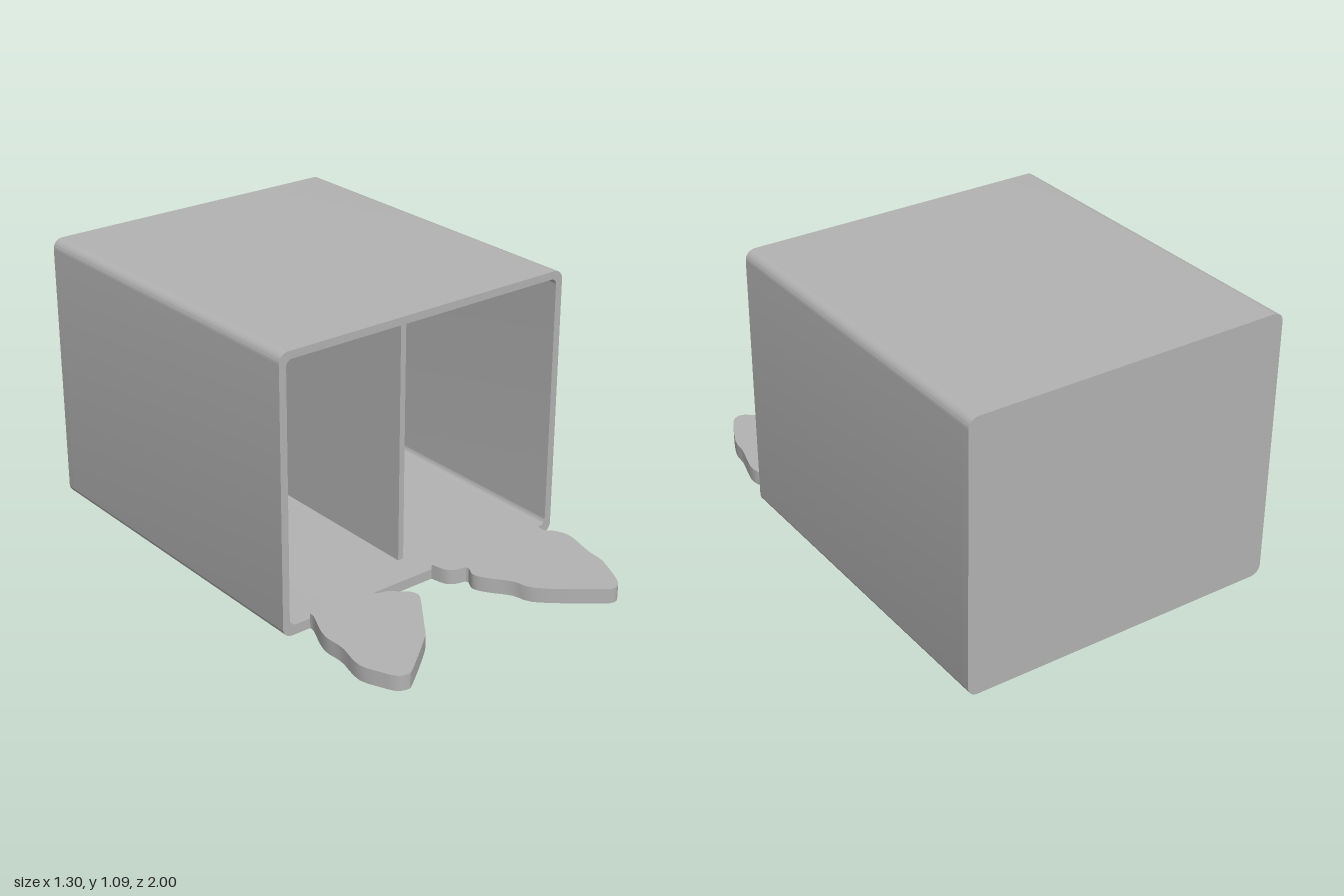
import * as THREE from 'three';
import { toCreasedNormals } from 'three/addons/utils/BufferGeometryUtils.js';

const grey = new THREE.MeshStandardMaterial({ color: 0xb2b2b2 });
grey.name = 'plain grey';

// Rounded rectangle outline between two corners
function roundedRect(path, x0, y0, x1, y1, r) {
  path.moveTo(x0 + r, y0);
  path.lineTo(x1 - r, y0);
  path.absarc(x1 - r, y0 + r, r, -Math.PI / 2, 0);
  path.lineTo(x1, y1 - r);
  path.absarc(x1 - r, y1 - r, r, 0, Math.PI / 2);
  path.lineTo(x0 + r, y1);
  path.absarc(x0 + r, y1 - r, r, Math.PI / 2, Math.PI);
  path.lineTo(x0, y0 + r);
  path.absarc(x0 + r, y0 + r, r, Math.PI, Math.PI * 1.5);
  return path;
}

function extrude(shape, depth, curveSegments = 8) {
  return new THREE.ExtrudeGeometry(shape, { depth, bevelEnabled: false, curveSegments });
}

function part(name, geometry) {
  const mesh = new THREE.Mesh(toCreasedNormals(geometry, 0.6), grey);
  mesh.name = name;
  return mesh;
}

const outer = () => roundedRect(new THREE.Shape(), -0.65, 0, 0.65, 1.09, 0.04);

// Foot outline as seen from above: [x, z] from one rear corner round to the other
const FEET = {
  rightFoot: [
    [-0.53, 0.45], [-0.535, 0.48], [-0.57, 0.56], [-0.585, 0.62], [-0.583, 0.7], [-0.607, 0.82],
    [-0.575, 0.91], [-0.55, 0.955], [-0.515, 0.97], [-0.48, 0.955], [-0.315, 0.825], [-0.27, 0.77],
    [-0.17, 0.635], [-0.143, 0.59], [-0.15, 0.555], [-0.18, 0.53], [-0.21, 0.5], [-0.255, 0.485],
    [-0.26, 0.45],
  ],
  leftFoot: [
    [0.04, 0.45], [0.055, 0.51], [0.085, 0.535], [0.13, 0.55], [0.11, 0.6], [0.135, 0.655],
    [0.19, 0.73], [0.225, 0.82], [0.395, 0.965], [0.435, 0.993], [0.47, 0.99], [0.505, 0.945],
    [0.56, 0.82], [0.57, 0.74], [0.602, 0.61], [0.585, 0.545], [0.555, 0.51], [0.565, 0.45],
  ],
};

export function createModel() {
  const model = new THREE.Group();
  model.name = 'openBoxWithFeet';

  // Open-fronted shell with rounded long edges
  const frame = outer();
  frame.holes.push(roundedRect(new THREE.Path(), -0.62, 0.04, 0.62, 1.06, 0.025));
  const shell = part('shell', extrude(frame, 1.42));
  shell.position.z = -0.97;
  model.add(shell);

  // Closed back
  const back = part('backWall', extrude(outer(), 0.03));
  back.position.z = -1;
  model.add(back);

  // Upright divider, set a little behind the opening
  const divider = part('divider', new THREE.BoxGeometry(0.024, 1.02, 1.29));
  divider.position.set(-0.002, 0.55, -0.325);
  model.add(divider);

  // Flat feet lying in front of the opening
  for (const [name, points] of Object.entries(FEET)) {
    const shape = new THREE.Shape();
    const pts = points.map(([x, z]) => new THREE.Vector2(x, -z));
    shape.moveTo(pts[0].x, pts[0].y);
    shape.splineThru(pts.slice(1));
    const foot = part(name, extrude(shape, 0.06, 3).rotateX(-Math.PI / 2));
    model.add(foot);
  }
  return model;
}
